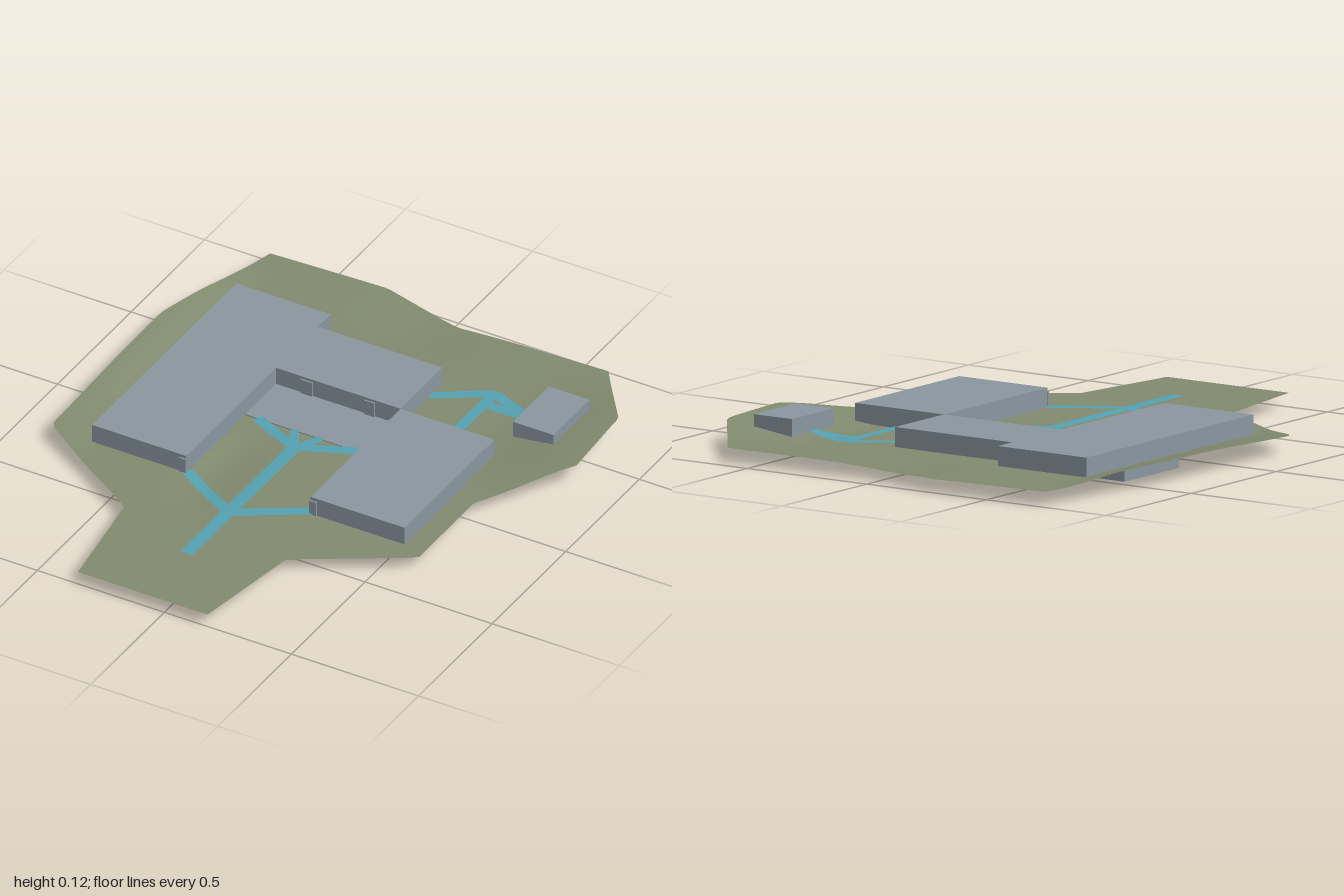
import * as THREE from 'three';

const paint = (name, color, side = THREE.FrontSide) => {
  const m = new THREE.MeshStandardMaterial({ color, side });
  m.name = name;
  return m;
};

// piecewise linear lookup through [key, value] points
function lerpTable(pts, k) {
  for (let i = 1; i < pts.length; i++) {
    const [k0, v0] = pts[i - 1], [k1, v1] = pts[i];
    if (k <= k1) return v0 + (v1 - v0) * Math.max(0, (k - k0) / (k1 - k0));
  }
  return pts[pts.length - 1][1];
}

// site outline: left and right edges as [z, x], back edge as [x, z]
const LEFT = [[-0.98, -0.73], [-0.45, -0.85], [0.3, -0.85], [0.58, -0.4], [1, -0.34]];
const RIGHT = [[-0.945, 0.62], [-0.67, 0.82], [-0.35, 0.84], [-0.03, 0.62], [0.345, 0.62], [0.58, 0.235], [1, 0.17]];
const BACK = [[-0.73, -0.98], [-0.28, -1], [0.04, -0.925], [0.62, -0.945]];

// building footprints: x0, x1, z0, z1
const HOUSES = {
  leftWing: [-0.69, -0.32, -0.68, 0.3],
  middleWing: [-0.32, 0.17, -0.595, -0.31],
  rightWing: [0.17, 0.54, -0.31, 0.3],
};
const PAVILION = [0.54, 0.7, -0.68, -0.435];
const COURT = [-0.32, 0.17, -0.31, -0.1];

const bump = (x, z, cx, cz, rx, rz) => Math.exp(-(((x - cx) / rx) ** 2) - ((z - cz) / rz) ** 2);
const smooth = THREE.MathUtils.smoothstep;

// gentle ground: raised side banks, shallow hollows
function ground(x, z) {
  let y = 0.049;
  const east = smooth(x, 0.42, 0.86) * smooth(-z, -0.05, 0.35) * (1 - smooth(-z, 0.6, 1));
  y += 0.043 * east;
  y += 0.034 * smooth(-x, 0.66, 0.86) * (1 - 0.6 * smooth(z, -0.3, 0.4)) * (1 - smooth(-z, 0.6, 1));
  y -= 0.012 * bump(x, z, -0.22, 0.2, 0.09, 0.25);
  y -= 0.013 * bump(x, z, -0.05, -0.85, 0.2, 0.15);
  for (const [x0, x1, z0, z1] of [...Object.values(HOUSES), COURT])
    if (x >= x0 && x <= x1 && z >= z0 && z <= z1) y = Math.max(y, 0.0485);
  return y;
}

function terrainGeometry() {
  const rows = 70, cols = 64, pos = [], idx = [];
  for (let r = 0; r <= rows; r++) {
    const zr = r === 0 ? -0.98 : -0.9 + (1.9 * (r - 1)) / (rows - 1);
    const xl = lerpTable(LEFT, zr), xr = lerpTable(RIGHT, zr);
    for (let c = 0; c <= cols; c++) {
      const x = xl + ((xr - xl) * c) / cols;
      const z = r === 0 ? lerpTable(BACK, x) : zr;
      pos.push(x, ground(x, z), z);
      if (r < rows && c < cols) {
        const a = r * (cols + 1) + c, b = a + cols + 1;
        idx.push(a, b, a + 1, b, b + 1, a + 1);
      }
    }
  }
  const g = new THREE.BufferGeometry();
  g.setAttribute('position', new THREE.Float32BufferAttribute(pos, 3));
  g.setIndex(idx);
  g.computeVertexNormals();
  return g;
}

// strip laid on the ground from a to b
function pathGeometry([ax, az], [bx, bz], width) {
  const dx = bx - ax, dz = bz - az, len = Math.hypot(dx, dz);
  const n = Math.ceil(len / 0.02);
  const g = new THREE.PlaneGeometry(width, len, 2, n).rotateX(-Math.PI / 2);
  g.rotateY(Math.atan2(dx, dz)).translate((ax + bx) / 2, 0, (az + bz) / 2);
  const p = g.attributes.position;
  for (let i = 0; i < p.count; i++) p.setY(i, ground(p.getX(i), p.getZ(i)) + 0.005);
  g.computeVertexNormals();
  return g;
}

export function createModel() {
  const model = new THREE.Group();
  model.name = 'campusSite';
  const grass = paint('grass', 0x828c70, THREE.DoubleSide);
  const concrete = paint('concrete', 0x8b97a1);
  const paving = paint('paving', 0x55a3b3, THREE.DoubleSide);
  const stair = paint('stair', 0xd6964a);

  const add = (name, geometry, material) => {
    const m = new THREE.Mesh(geometry, material);
    m.name = name;
    model.add(m);
    return m;
  };
  const block = (name, [x0, x1, z0, z1], y0, y1, material = concrete) =>
    add(name, new THREE.BoxGeometry(x1 - x0, y1 - y0, z1 - z0)
      .translate((x0 + x1) / 2, (y0 + y1) / 2, (z0 + z1) / 2), material);

  add('terrain', terrainGeometry(), grass);

  // buildings above ground
  for (const [name, area] of Object.entries(HOUSES)) block(name, area, 0.045, 0.118);
  block('pavilion', PAVILION, 0.05, 0.118);

  // basement with its roof showing in the courtyard
  block('basementHall', COURT, 0, 0.052);
  block('basementCorridor', [-0.69, -0.32, -0.455, -0.135], 0, 0.046);

  // ramps climbing outward from the basement, mirrored about the hall
  const mid = -0.0735;
  for (const s of [-1, 1]) {
    const pts = [[0.245, 0], [0.429, 0], [0.429, 0.046], [0.365, 0.046], [0.245, 0.014]];
    const shape = new THREE.Shape(pts.map(([d, y]) => new THREE.Vector2(mid + s * d, y)));
    add(s < 0 ? 'rightRamp' : 'leftRamp',
      new THREE.ExtrudeGeometry(shape, { depth: 0.035, bevelEnabled: false }).translate(0, 0, -0.135), stair);
  }
  block('backRamp', [-0.53, -0.46, -0.485, -0.455], 0, 0.046, stair);

  // doors
  block('courtDoorRight', [-0.22, -0.175, -0.31, -0.304], 0.05, 0.108);
  block('courtDoorLeft', [0.03, 0.07, -0.31, -0.304], 0.05, 0.108);
  block('frontDoorRight', [-0.345, -0.318, 0.3, 0.306], 0.05, 0.105);
  block('frontDoorLeft', [0.168, 0.195, 0.3, 0.306], 0.05, 0.105);

  // footpaths
  const hub = [-0.073, -0.01], fork = [-0.073, 0.44], bend = [0.355, -0.63];
  const paths = [
    [[-0.073, 0.725], hub, 0.048],
    [fork, [-0.32, 0.29], 0.042], [fork, [0.17, 0.29], 0.042],
    [hub, [-0.27, -0.1], 0.04], [hub, [0.125, -0.1], 0.04],
    [hub, [-0.125, -0.1], 0.032], [hub, [-0.02, -0.1], 0.032],
    [[0.17, -0.51], bend, 0.04], [bend, [0.54, -0.555], 0.042],
    [bend, [0.355, -0.31], 0.04], [[0.355, -0.558], [0.54, -0.558], 0.042],
  ];
  paths.forEach(([a, b, w], i) => add('footpath' + (i + 1), pathGeometry(a, b, w), paving));

  return model;
}
